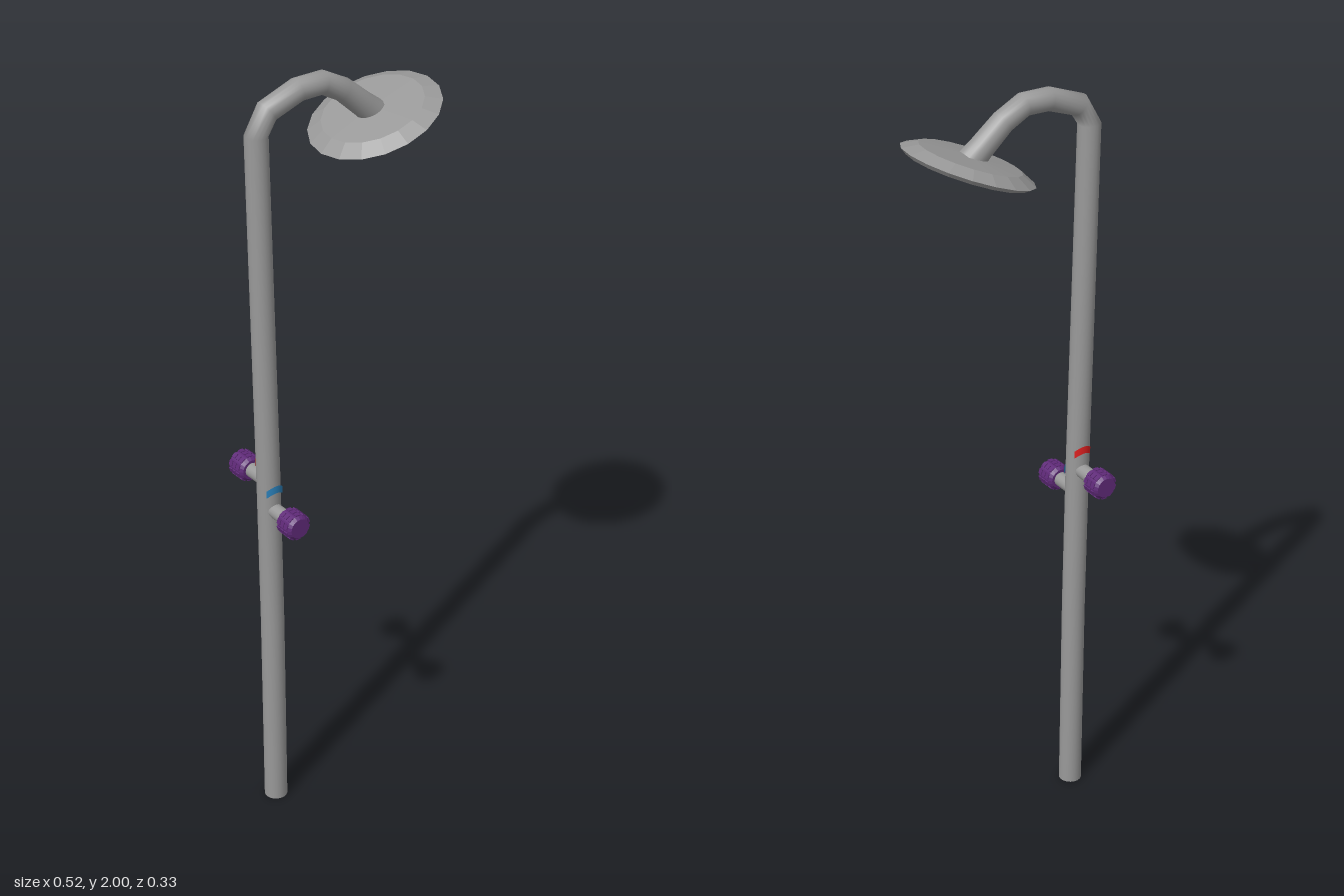
import * as THREE from 'three';

const material = (color, flatShading = false, side = THREE.FrontSide) =>
  new THREE.MeshStandardMaterial({ color, flatShading, side });
const metal = material(0x999999);
const metalFlat = material(0x999999, true);
const purple = material(0x5f2a78, true);

function add(parent, name, geometry, mat, x = 0, y = 0, z = 0) {
  const mesh = new THREE.Mesh(geometry, mat);
  mesh.name = name;
  mesh.position.set(x, y, z);
  parent.add(mesh);
  return mesh;
}

// Sweep a round section along [x, y, radius] stations lying in the z = 0 plane
function sweptPipe(path, sides) {
  const pos = [], index = [];
  path.forEach(([x, y, r], i) => {
    const a = path[Math.max(i - 1, 0)], b = path[Math.min(i + 1, path.length - 1)];
    const t = new THREE.Vector2(b[0] - a[0], b[1] - a[1]).normalize();
    for (let j = 0; j < sides; j++) {
      const ang = (j / sides) * Math.PI * 2, c = Math.cos(ang) * r;
      pos.push(x - t.y * c, y + t.x * c, Math.sin(ang) * r);
      if (i < path.length - 1) {
        const p = i * sides + j, q = i * sides + ((j + 1) % sides);
        index.push(p, q, q + sides, p, q + sides, p + sides);
      }
    }
  });
  const g = new THREE.BufferGeometry();
  g.setAttribute('position', new THREE.Float32BufferAttribute(pos, 3));
  g.setIndex(index);
  g.computeVertexNormals();
  return g;
}

// Tap pointing along +z: stem, chamfered handle with grip blocks, arched temperature mark
function createTap(name, markColor) {
  const tap = new THREE.Group();
  tap.name = name;
  const stem = add(tap, 'tapStem', new THREE.CylinderGeometry(0.019, 0.019, 0.08, 16), metal, 0, 0, 0.04);
  stem.rotation.x = Math.PI / 2;

  const profile = [[0, 0.073], [0.026, 0.073], [0.033, 0.082], [0.033, 0.123], [0.026, 0.132], [0, 0.132]]
    .map(([r, h]) => new THREE.Vector2(r, h));
  const handle = add(tap, 'tapHandle', new THREE.LatheGeometry(profile, 20), purple);
  handle.rotation.x = Math.PI / 2;

  const block = new THREE.BoxGeometry(0.013, 0.005, 0.012);
  for (let i = 0; i < 10; i++) {
    const a = ((i + 0.5) / 10) * Math.PI * 2;
    for (let row = 0; row < 3; row++) {
      const grip = add(tap, 'tapGrip', block, purple,
        Math.cos(a) * 0.0325, Math.sin(a) * 0.0325, 0.0875 + row * 0.015);
      grip.rotation.z = a - Math.PI / 2;
    }
  }

  const mark = new THREE.CylinderGeometry(0.0335, 0.0335, 0.02, 10, 1, true, -0.8, 1.6);
  const p = mark.attributes.position;
  for (let i = 0; i < p.count; i++) p.setY(i, p.getY(i) - 22 * p.getX(i) ** 2);
  mark.computeVertexNormals();
  add(tap, 'temperatureMark', mark, material(markColor, false, THREE.DoubleSide), 0, 0.064, 0);
  return tap;
}

// Tilted faceted rose with a recessed face of spray nozzles
function createHead() {
  const head = new THREE.Group();
  head.name = 'showerHead';
  const profile = [[0, -0.010], [0.126, -0.010], [0.130, -0.018], [0.152, -0.015],
    [0.167, -0.004], [0.128, 0.015], [0, 0.021]].map(([r, h]) => new THREE.Vector2(r, h));
  add(head, 'headShell', new THREE.LatheGeometry(profile, 18), metalFlat).rotation.y = Math.PI / 2;

  const nozzle = new THREE.CylinderGeometry(0.011, 0.006, 0.011, 6);
  const step = 0.034;
  for (let row = -4; row <= 4; row++) {
    for (let col = -4; col <= 4; col++) {
      const x = row * step * 0.866, z = (col + (row % 2 ? 0.5 : 0)) * step;
      if (Math.hypot(x, z) < 0.116) add(head, 'sprayNozzle', nozzle, metalFlat, x, -0.0145, z);
    }
  }
  head.position.set(0.104, 1.856, 0);
  head.rotation.z = 0.367;
  return head;
}

export function createModel() {
  const model = new THREE.Group();
  model.name = 'outdoorShower';

  // Standing pipe and curved arm
  const path = [
    [-0.205, 0, 0.030], [-0.208, 0.55, 0.030], [-0.214, 0.95, 0.030], [-0.234, 1.885, 0.029],
    [-0.203, 1.938, 0.029], [-0.117, 1.970, 0.029], [-0.048, 1.971, 0.029],
    [0.010, 1.940, 0.029], [0.070, 1.888, 0.031], [0.100, 1.862, 0.034],
  ];
  add(model, 'pipe', sweptPipe(path, 18), metal);
  add(model, 'pipeBase', new THREE.CircleGeometry(0.030, 18), metal, -0.205, 0, 0).rotation.x = Math.PI / 2;

  model.add(createHead());

  // Cold tap in front, hot tap slightly higher behind
  const cold = createTap('coldTap', 0x2a7fb8);
  cold.position.set(-0.213, 0.887, 0);
  const hot = createTap('hotTap', 0xe02020);
  hot.position.set(-0.213, 0.957, 0);
  hot.rotation.y = Math.PI;
  model.add(cold, hot);

  return model;
}
